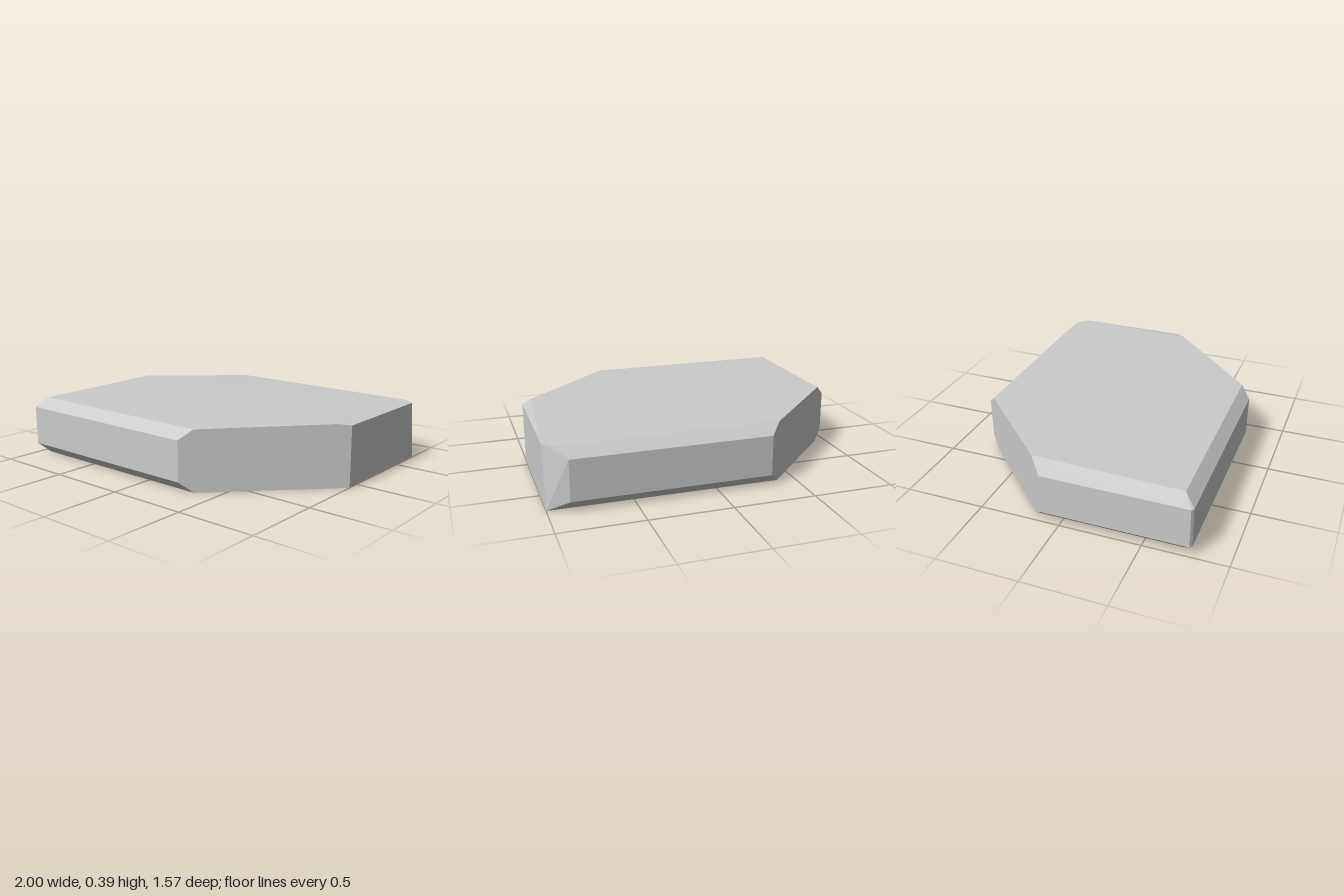
import * as THREE from 'three';
import { ConvexGeometry } from 'three/addons/geometries/ConvexGeometry.js';

export function createModel() {
  const group = new THREE.Group();
  const points = [];
  const ring = (y, corners) => corners.forEach(([x, z]) => points.push(new THREE.Vector3(x, y, z)));

  // flat base, inset along the front, back and one side
  ring(0, [[-0.93, 0.72], [0.36, 0.72], [1, 0.08], [1, -0.715], [-0.39, -0.72], [-0.93, -0.18]]);

  // upright walls between the lower and upper bevels
  for (const y of [0.065, 0.313]) {
    ring(y, [[-1, 0.772], [-0.985, 0.785], [0.295, 0.785], [0.875, -0.785], [-0.325, -0.785], [-1, -0.11]]);
  }

  // top rim, with a very slight crown across the middle
  ring(0.375, [[-0.93, 0.72], [0.36, 0.72], [1, 0.08], [1, -0.66], [0.93, -0.72], [-0.39, -0.72]]);
  ring(0.386, [[-0.92, -0.19], [0.94, 0.14]]);

  const slab = new THREE.Mesh(
    new ConvexGeometry(points),
    new THREE.MeshStandardMaterial({ color: 0xcccccc, flatShading: true })
  );
  slab.name = 'bevelledSlab';
  group.add(slab);
  group.name = 'stoneSlab';
  return group;
}
